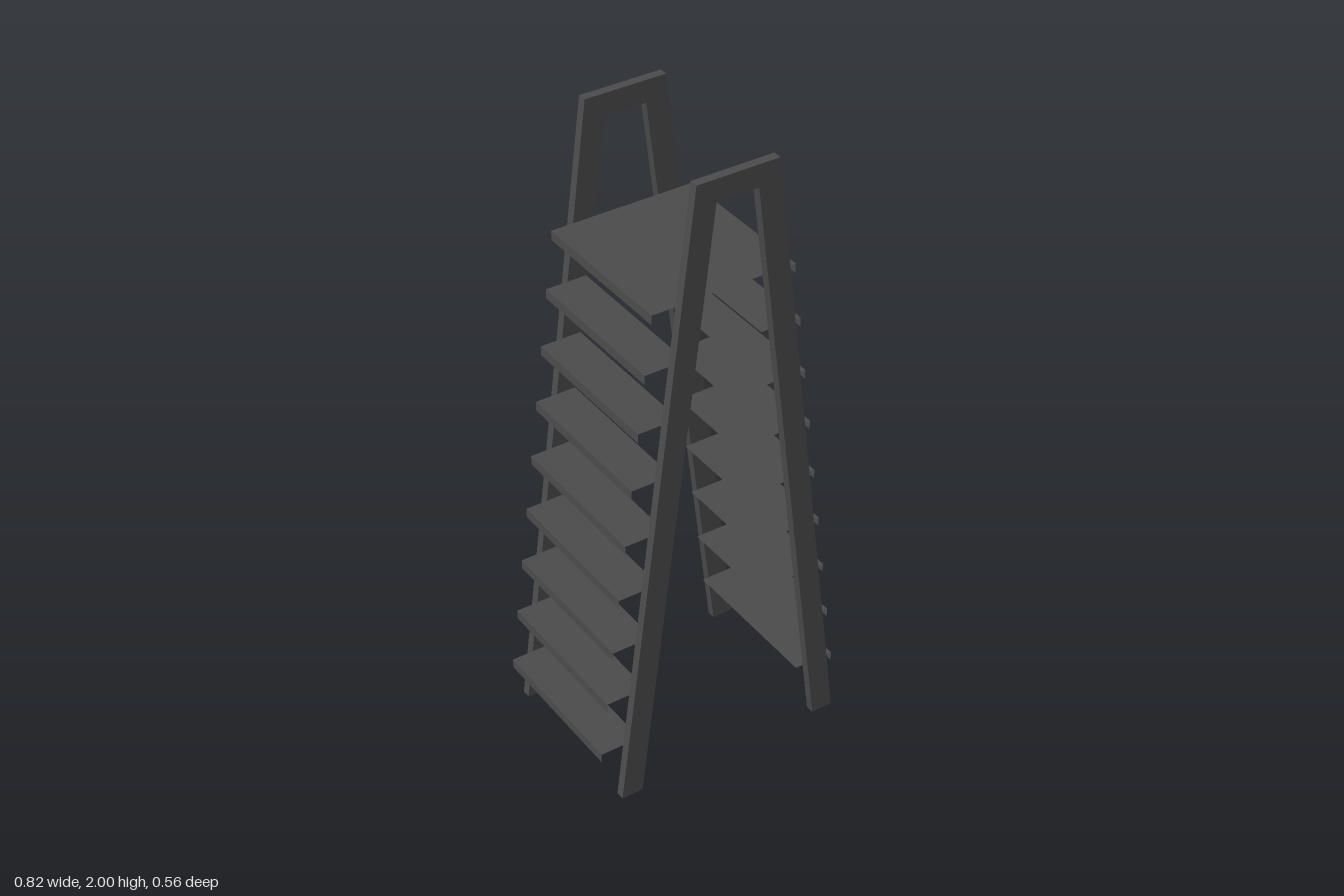
import * as THREE from 'three';

export function createModel() {
  const model = new THREE.Group();
  model.name = 'doubleLadder';

  const darkGrey = new THREE.MeshStandardMaterial({ color: 0x4c4c4c, side: THREE.DoubleSide });
  darkGrey.name = 'darkGrey';

  // Side frames: two leaning legs joined by a short top bar
  const outline = [
    [-0.36, 0], [-0.29, 0], [-0.05, 1.93], [0.083, 1.93],
    [0.325, 0], [0.395, 0], [0.148, 2], [-0.112, 2],
  ].map(([x, y]) => new THREE.Vector2(x, y));
  const frameGeometry = new THREE.ExtrudeGeometry(new THREE.Shape(outline), { depth: 0.028, bevelEnabled: false });
  for (const [name, z] of [['frontFrame', 0.253], ['backFrame', -0.282]]) {
    const frame = new THREE.Mesh(frameGeometry, darkGrey);
    frame.name = name;
    frame.position.z = z;
    model.add(frame);
  }

  // Thin sheets: a flat tread, and a lip hanging from its outer edge
  const halfWidth = 0.2505, lipHeight = 0.03;
  function addTread(parent, x0, x1, y) {
    const tread = new THREE.Mesh(new THREE.PlaneGeometry(x1 - x0, halfWidth * 2).rotateX(-Math.PI / 2), darkGrey);
    tread.name = 'tread';
    tread.position.set((x0 + x1) / 2, y, 0);
    parent.add(tread);
  }
  function addLip(parent, x, y) {
    const lip = new THREE.Mesh(
      new THREE.PlaneGeometry(halfWidth * 2, lipHeight).rotateY(Math.sign(x) * Math.PI / 2), darkGrey);
    lip.name = 'lip';
    lip.position.set(x, y - lipHeight / 2, 0);
    parent.add(lip);
  }

  // Eight steps on each side, closing in towards the top
  const levels = 8, stepDepth = 0.13;
  const edgeAt = (i) => 0.41 - 0.18 * i / levels;
  const heightAt = (i) => 0.176 + 1.456 * i / levels;
  for (const side of [-1, 1]) {
    for (let i = 0; i < levels; i++) {
      const step = new THREE.Group();
      step.name = side > 0 ? 'leftStep' : 'rightStep';
      const outer = edgeAt(i), inner = outer - stepDepth;
      if (side > 0) addTread(step, inner, outer, heightAt(i));
      else addTread(step, -outer, -inner, heightAt(i));
      addLip(step, side * outer, heightAt(i));
      model.add(step);
    }
  }

  // Top platform spanning both sides
  const platform = new THREE.Group();
  platform.name = 'platform';
  const edge = edgeAt(levels), top = heightAt(levels);
  addTread(platform, -edge, edge, top);
  addLip(platform, -edge, top);
  addLip(platform, edge, top);
  model.add(platform);

  return model;
}
